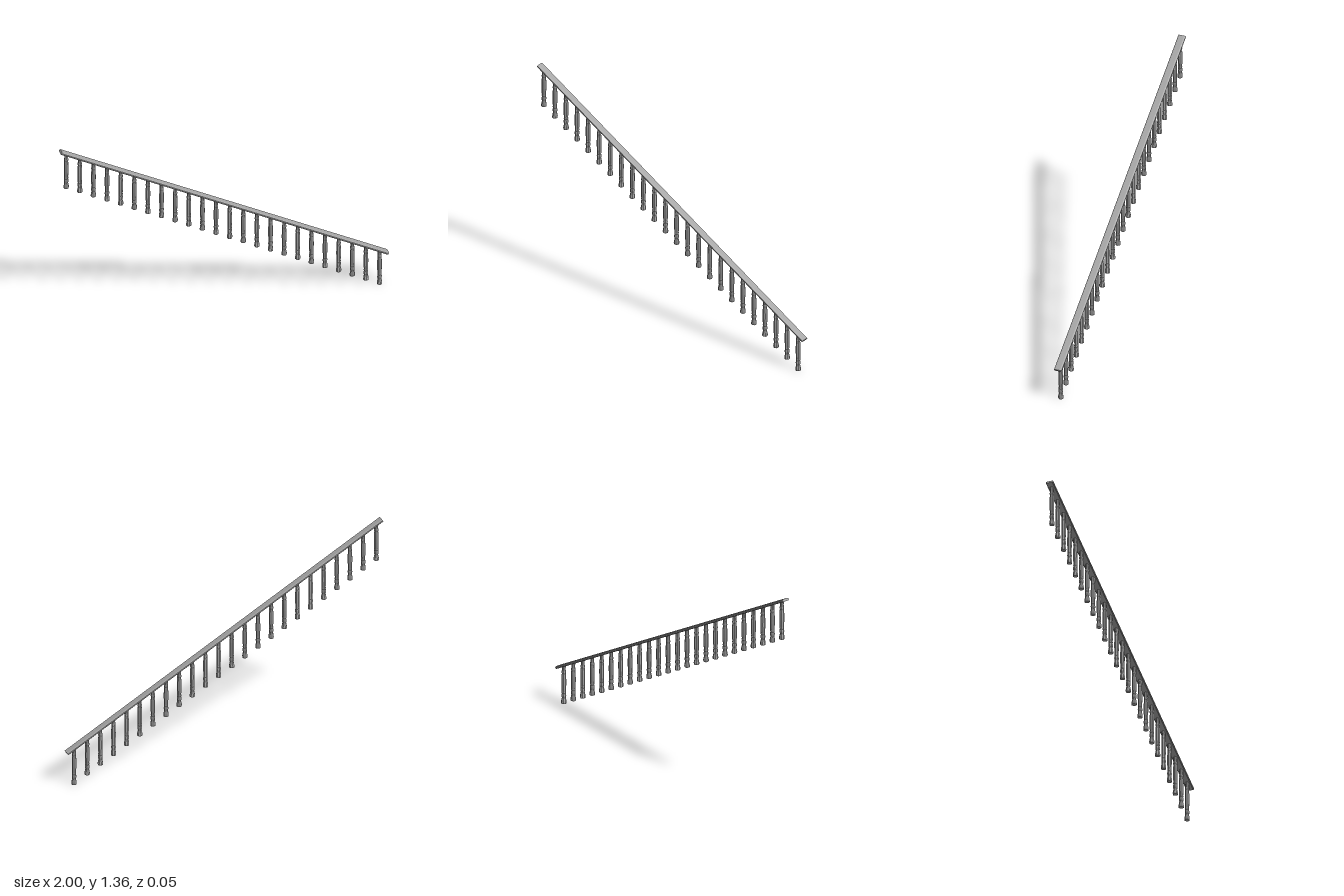
import * as THREE from 'three';

const COUNT = 24, FIRST_X = -0.962, STEP = 0.083;
const SLOPE = 0.571, ANGLE = Math.atan(SLOPE), RAIL_Y = 0.7855;

export function createModel() {
  const group = new THREE.Group();
  group.name = 'stairBalustrade';
  const material = new THREE.MeshStandardMaterial({ color: 0xa6a6a6, flatShading: true });

  // Handrail: shallow section with a rounded top, run along the slope
  const length = 2.292, w = 0.023, t = 0.008;
  const section = new THREE.Shape();
  section.moveTo(-w + 0.004, -t);
  section.lineTo(w - 0.004, -t);
  section.lineTo(w, -t + 0.004);
  section.lineTo(w, t - 0.005);
  section.quadraticCurveTo(w - 0.002, t - 0.001, w - 0.009, t);
  section.lineTo(-w + 0.009, t);
  section.quadraticCurveTo(-w + 0.002, t - 0.001, -w, t - 0.005);
  section.lineTo(-w, -t + 0.004);
  section.closePath();
  const railGeometry = new THREE.ExtrudeGeometry(section, { depth: length, bevelEnabled: false, curveSegments: 4 });
  railGeometry.translate(0, 0, -length / 2).rotateY(Math.PI / 2);
  const rail = new THREE.Mesh(railGeometry, material);
  rail.name = 'handrail';
  rail.rotation.z = -ANGLE;
  rail.position.y = RAIL_Y;
  group.add(rail);

  // Turned, faceted baluster: flared foot, collar, long body, neck and cap
  const profile = [
    [0, 0], [0.016, 0], [0.0165, 0.01], [0.015, 0.02], [0.0125, 0.03],
    [0.0115, 0.037], [0.0135, 0.043], [0.0145, 0.051], [0.0135, 0.059],
    [0.0115, 0.064], [0.0135, 0.071], [0.0125, 0.079], [0.0135, 0.095],
    [0.0145, 0.12], [0.0145, 0.145], [0.014, 0.168], [0.0125, 0.186],
    [0.0115, 0.192], [0.0135, 0.198], [0.0135, 0.204], [0.0115, 0.21],
    [0.011, 0.222], [0.0115, 0.232], [0.012, 0.245], [0, 0.245],
  ].map(([r, y]) => new THREE.Vector2(r, y));
  const balusterGeometry = new THREE.LatheGeometry(profile, 8).toNonIndexed();
  balusterGeometry.computeVertexNormals();

  const balusters = new THREE.Group();
  balusters.name = 'balusters';
  for (let i = 0; i < COUNT; i++) {
    const baluster = new THREE.Mesh(balusterGeometry, material);
    baluster.name = `baluster${i + 1}`;
    baluster.position.set(FIRST_X + i * STEP, (COUNT - 1 - i) * STEP * SLOPE, 0);
    balusters.add(baluster);
  }
  group.add(balusters);
  return group;
}
